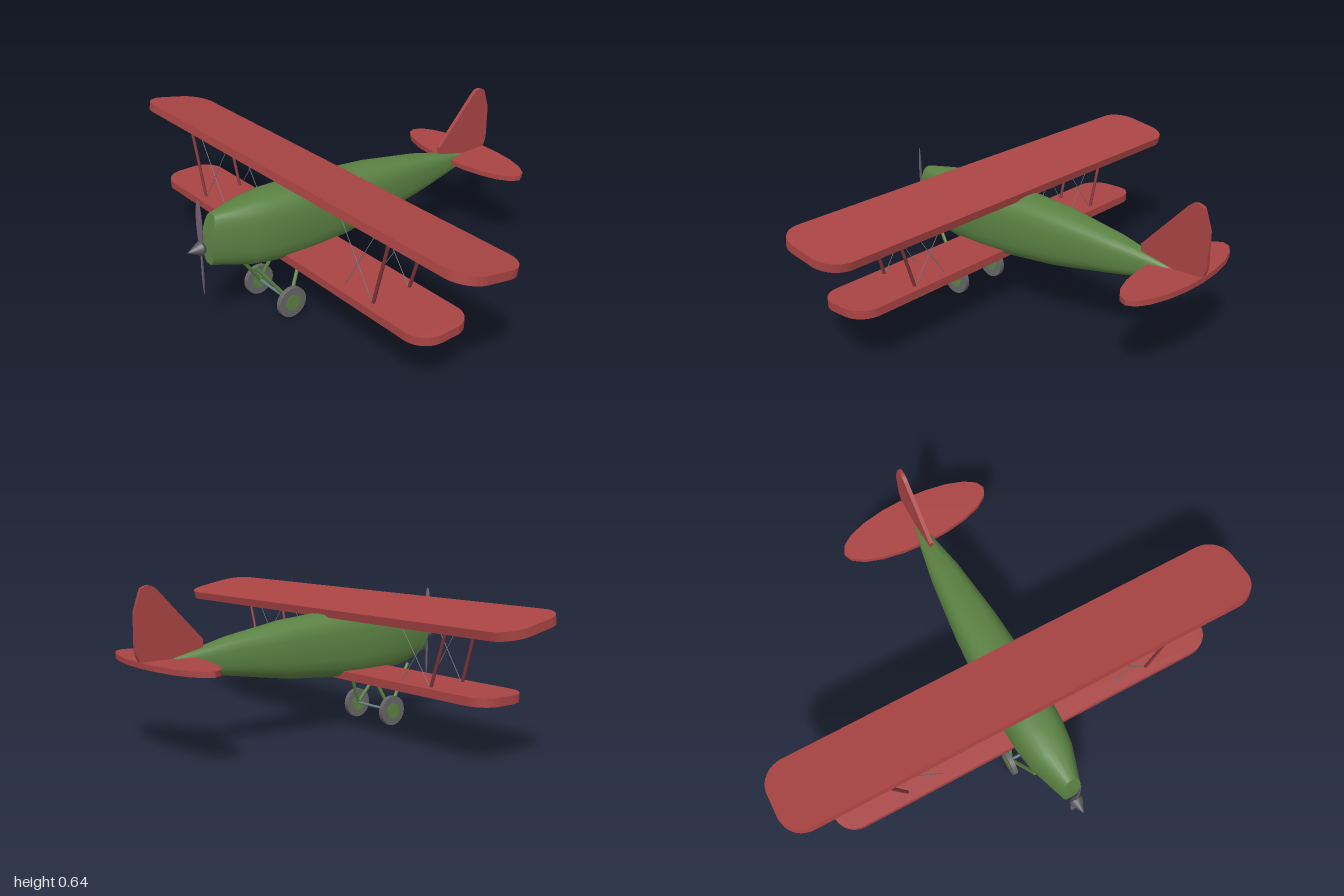
import * as THREE from 'three';
import { toCreasedNormals } from 'three/addons/utils/BufferGeometryUtils.js';

const paint = (name, color) => Object.assign(new THREE.MeshStandardMaterial({ color }), { name });

export function createModel() {
  const model = new THREE.Group();
  model.name = 'biplane';
  const red = paint('wing red', 0xaa4444);
  const darkRed = paint('strut dark red', 0x803438);
  const green = paint('fuselage green', 0x5b8243);
  const tyre = paint('tyre grey', 0x666666);
  const steel = paint('axle blue grey', 0x6a7f88);
  const wire = paint('wire grey', 0x70787c);
  const plum = paint('propeller plum grey', 0x6e5c70);
  const dark = paint('spinner dark grey', 0x55555a);

  const add = (name, geometry, material, parent = model) => {
    const mesh = new THREE.Mesh(geometry, material);
    mesh.name = name;
    parent.add(mesh);
    return mesh;
  };

  // Round rod between two points
  const rod = (name, a, b, radius, material, sides = 8) => {
    const from = new THREE.Vector3(...a), to = new THREE.Vector3(...b);
    const dir = to.clone().sub(from);
    const mesh = add(name, new THREE.CylinderGeometry(radius, radius, dir.length(), sides), material);
    mesh.position.copy(from).add(to).multiplyScalar(0.5);
    mesh.quaternion.setFromUnitVectors(new THREE.Vector3(0, 1, 0), dir.normalize());
    return mesh;
  };

  // Extruded plate, centred on its thickness
  const plate = (shape, depth) => {
    const g = new THREE.ExtrudeGeometry(shape, { depth, bevelEnabled: false, curveSegments: 10 });
    g.translate(0, 0, -depth / 2);
    return toCreasedNormals(g, 0.6);
  };

  const roundedRect = (w, h, r) => {
    const s = new THREE.Shape();
    s.absarc(w - r, h - r, r, 0, Math.PI / 2);
    s.absarc(-w + r, h - r, r, Math.PI / 2, Math.PI);
    s.absarc(-w + r, -h + r, r, Math.PI, Math.PI * 1.5);
    s.absarc(w - r, -h + r, r, Math.PI * 1.5, Math.PI * 2);
    s.closePath();
    return s;
  };

  // Fuselage stations: z, bottom, top, half width
  const stations = [
    [0.675, 0.285, 0.485, 0.035], [0.52, 0.24, 0.5, 0.085], [0.42, 0.225, 0.505, 0.1],
    [0.26, 0.215, 0.5, 0.105], [0.1, 0.225, 0.487, 0.103], [-0.1, 0.24, 0.47, 0.09],
    [-0.36, 0.28, 0.428, 0.062], [-0.58, 0.315, 0.377, 0.022], [-0.68, 0.33, 0.352, 0.008],
  ];
  const sides = 24, pos = [], idx = [];
  const soft = (v) => Math.sign(v) * Math.abs(v) ** 0.66;
  const ring = ([z, bottom, top, half], nose) => {
    for (let j = 0; j < sides; j++) {
      const a = (j / sides) * Math.PI * 2;
      const y = (top + bottom) / 2 + soft(Math.sin(a)) * (top - bottom) / 2;
      // the nose face leans back above the propeller
      pos.push(soft(Math.cos(a)) * half, y, z - (nose ? Math.max(0, y - 0.4) * 0.3 : 0));
    }
  };
  stations.forEach((s, i) => ring(s, i === 0));
  for (let i = 0; i < stations.length - 1; i++) {
    for (let j = 0; j < sides; j++) {
      const k = (j + 1) % sides;
      const a = i * sides + j, b = i * sides + k, c = a + sides, d = b + sides;
      idx.push(a, c, b, b, c, d);
    }
  }
  const last = (stations.length - 1) * sides, centre = pos.length / 3;
  pos.push(0, 0.385, 0.675, 0, 0.341, -0.68);
  for (let j = 0; j < sides; j++) {
    const k = (j + 1) % sides;
    idx.push(centre, j, k, centre + 1, last + k, last + j);
  }
  const body = new THREE.BufferGeometry();
  body.setAttribute('position', new THREE.Float32BufferAttribute(pos, 3));
  body.setIndex(idx);
  add('fuselage', toCreasedNormals(body, 0.8), green);

  // Wings: the upper one is tilted with its front edge high
  const upper = add('upperWing', plate(roundedRect(1, 0.15, 0.1), 0.033).rotateX(-Math.PI / 2), red);
  upper.position.set(0, 0.518, 0.226);
  upper.rotation.x = -0.19;
  const lower = add('lowerWing', plate(roundedRect(0.835, 0.122, 0.09), 0.033).rotateX(-Math.PI / 2), red);
  lower.position.set(0, 0.236, 0.266);

  // Tailplane and fin
  const oval = new THREE.Shape().absellipse(0, 0, 0.325, 0.11, 0, Math.PI * 2);
  const tail = add('tailplane', plate(oval, 0.021).rotateX(-Math.PI / 2), red);
  tail.position.set(0, 0.358, -0.631);
  const fin = new THREE.Shape();
  fin.moveTo(-0.475, 0.37);
  fin.lineTo(-0.475, 0.43);
  fin.lineTo(-0.665, 0.625);
  fin.quadraticCurveTo(-0.695, 0.655, -0.73, 0.63);
  fin.lineTo(-0.757, 0.55);
  fin.lineTo(-0.757, 0.42);
  fin.quadraticCurveTo(-0.755, 0.385, -0.735, 0.365);
  fin.closePath();
  add('fin', plate(fin, 0.016).rotateY(-Math.PI / 2), red);

  // Wing struts and crossed bracing wires
  for (const s of [1, -1]) {
    for (const [z, top] of [[0.35, 0.535], [0.18, 0.505]]) {
      rod('wingStrut', [s * 0.54, 0.245, z], [s * 0.622, top, z], 0.0065, darkRed);
      rod('bracingWire', [s * 0.38, 0.245, z], [s * 0.545, top - 0.02, z], 0.0015, wire, 5);
      rod('bracingWire', [s * 0.54, 0.245, z], [s * 0.365, top - 0.02, z], 0.0015, wire, 5);
    }

    // Landing gear legs and wheels
    rod('frontLeg', [s * 0.068, 0.245, 0.52], [s * 0.1, 0.065, 0.39], 0.0075, green);
    rod('rearLeg', [s * 0.068, 0.24, 0.305], [s * 0.1, 0.065, 0.39], 0.0075, green);
    const wheel = new THREE.Group();
    wheel.name = 'wheel';
    wheel.position.set(s * 0.11, 0.063, 0.39);
    wheel.rotation.z = Math.PI / 2;
    add('tyre', new THREE.CylinderGeometry(0.062, 0.062, 0.02, 32), tyre, wheel);
    add('hub', new THREE.CylinderGeometry(0.033, 0.033, 0.024, 24), green, wheel);
    model.add(wheel);
  }
  rod('axle', [-0.105, 0.063, 0.39], [0.105, 0.063, 0.39], 0.006, steel);

  // Propeller: two slim twisted blades and a pointed spinner
  const propeller = new THREE.Group();
  propeller.name = 'propeller';
  propeller.position.set(0, 0.36, 0.703);
  model.add(propeller);
  for (const s of [1, -1]) {
    const blade = add('blade', new THREE.SphereGeometry(1, 12, 10), plum, propeller);
    blade.scale.set(0.012, 0.099, 0.005);
    blade.position.y = s * 0.097;
    blade.rotation.y = s * 0.6;
  }
  const cone = [[0, -0.012], [0.018, -0.012], [0.028, 0.002], [0, 0.057]];
  const spinner = new THREE.LatheGeometry(cone.map((p) => new THREE.Vector2(...p)), 16);
  add('spinner', toCreasedNormals(spinner.rotateX(Math.PI / 2), 0.5), dark, propeller);

  return model;
}
